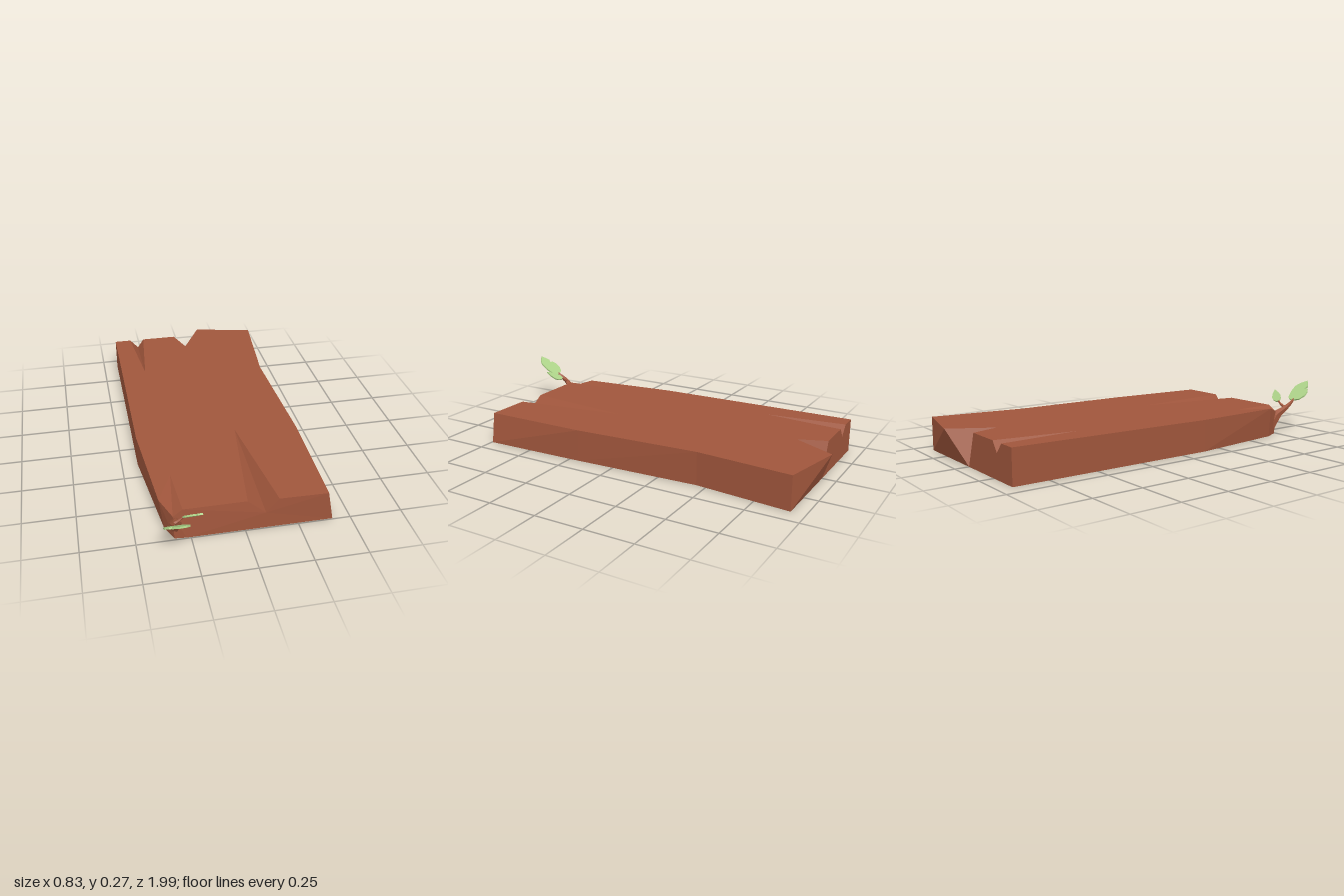
import * as THREE from 'three';

const bark = new THREE.MeshStandardMaterial({ color: 0xa0563c, side: THREE.DoubleSide });
bark.name = 'reddish brown wood';
const green = new THREE.MeshStandardMaterial({ color: 0xafd58a });
green.name = 'light leaf green';

// Flat-faceted mesh from polygons, each fanned out from its first corner
function facets(name, polygons) {
  const pos = [];
  for (const p of polygons)
    for (let i = 1; i < p.length - 1; i++) pos.push(...p[0], ...p[i], ...p[i + 1]);
  const g = new THREE.BufferGeometry();
  g.setAttribute('position', new THREE.Float32BufferAttribute(pos, 3));
  g.computeVertexNormals();
  const mesh = new THREE.Mesh(g, bark);
  mesh.name = name;
  return mesh;
}

// Tube whose radius tapers along its path
function taperedStem(name, points, radii, sides) {
  const curve = new THREE.CatmullRomCurve3(points.map(p => new THREE.Vector3(...p)));
  const steps = 10;
  const g = new THREE.TubeGeometry(curve, steps, 1, sides);
  const pos = g.attributes.position, v = new THREE.Vector3();
  for (let i = 0; i < pos.count; i++) {
    const t = Math.floor(i / (sides + 1)) / steps;
    const c = curve.getPointAt(t);
    const f = t * (radii.length - 1), k = Math.min(Math.floor(f), radii.length - 2);
    const r = THREE.MathUtils.lerp(radii[k], radii[k + 1], f - k);
    v.fromBufferAttribute(pos, i).sub(c).multiplyScalar(r).add(c);
    pos.setXYZ(i, v.x, v.y, v.z);
  }
  const flat = g.toNonIndexed();
  flat.computeVertexNormals();
  const mesh = new THREE.Mesh(flat, bark);
  mesh.name = name;
  return mesh;
}

// Thin leaf: outline in x and y, leaning forward by a slope from its base
function leaf(name, outline, y0, z0, slope) {
  const depth = 0.008, n = Math.hypot(1, slope);
  const shape = new THREE.Shape(outline.map(p => new THREE.Vector2(...p)));
  const g = new THREE.ExtrudeGeometry(shape, { depth, bevelEnabled: false });
  const pos = g.attributes.position;
  for (let i = 0; i < pos.count; i++) {
    const y = pos.getY(i), d = depth - pos.getZ(i);
    pos.setXYZ(i, pos.getX(i), y + d * slope / n, z0 + slope * (y - y0) - d / n);
  }
  g.computeVertexNormals();
  const mesh = new THREE.Mesh(g, green);
  mesh.name = name;
  return mesh;
}

export function createModel() {
  const model = new THREE.Group();
  model.name = 'crackedPlank';
  const T = (x, z) => [x, 0.155 + 0.009 * (0.75 - z), z];
  const B = (x, z) => [x, 0, z];

  // Top outline, counter-clockwise from the front corner; notch tips run inward
  const top = [
    [-0.38, 0.65], [-0.3, 0.475], [-0.285, 0.735],
    [0.01, 0.735], [0.08, 0.16], [0.155, 0.745],
    [0.385, 0.75], [0.395, 0.2], [0.37, -0.45], [0.415, -0.93],
    [0.1, -1], [-0.01, -0.79], [-0.06, -0.93],
    [-0.25, -0.93], [-0.29, -0.52], [-0.33, -0.93],
    [-0.42, -0.93], [-0.42, 0.14],
  ].map(p => T(...p));
  const [c0, c1, c2, n0, n1, n2, r0, r1, r2, r3, p, q1, q2, m0, m1, m2, l0, l1] = top;
  const tris = THREE.ShapeUtils.triangulateShape(top.map(v => new THREE.Vector2(v[0], -v[2])), []);
  model.add(facets('plankTop', tris.map(t => t.map(i => top[i]))));

  // Lower rim
  const right = [B(0.415, 0.745), B(0.4, 0.2), B(0.37, -0.45), B(0.415, -0.93)];
  const backMid = B(0, -0.93);
  const left = [B(-0.42, -0.93), B(-0.42, 0.14), B(-0.36, 0.66)];
  const f1 = B(-0.325, 0.74), f2 = B(-0.27, 0.745);

  // Lowest points of the cracks
  const frontV = [0.095, 0.085, 0.745];
  const backV = [-0.285, 0.12, -0.93];
  const cornerV = [-0.33, 0.125, 0.74];

  // Side walls
  const strip = (lo, hi) => lo.slice(1).map((b, i) => [lo[i], b, hi[i + 1], hi[i]]);
  model.add(facets('rightWall', strip(right, [r0, r1, r2, r3])));
  model.add(facets('leftWall', strip(left, [l0, l1, c0])));
  model.add(facets('frontWall', [
    [frontV, n0, c2, f2, right[0], r0, n2],
    [c0, left[2], f1, cornerV], [cornerV, f1, f2, c2],
  ]));
  model.add(facets('backWall', [
    [right[3], backMid, p, r3],
    [backV, m0, q2, backMid, left[0], l0, m2],
  ]));

  // Split faces inside the cracks
  model.add(facets('cracks', [
    [frontV, n1, n0], [frontV, n2, n1],
    [cornerV, c1, c0], [cornerV, c2, c1],
    [backV, m1, m0], [backV, m2, m1],
    [backMid, q1, p], [backMid, q2, q1],
  ]));

  // Sprout growing from the split corner
  const sprout = new THREE.Group();
  sprout.name = 'sprout';
  sprout.add(taperedStem('stem',
    [[-0.32, 0.04, 0.72], [-0.32, 0.095, 0.75], [-0.34, 0.135, 0.8], [-0.345, 0.158, 0.835], [-0.34, 0.182, 0.872]],
    [0.02, 0.03, 0.018, 0.011, 0.006], 5));
  sprout.add(taperedStem('sideTwig',
    [[-0.34, 0.14, 0.805], [-0.315, 0.152, 0.803], [-0.29, 0.172, 0.803]],
    [0.009, 0.007, 0.004], 5));
  sprout.add(leaf('largeLeaf', [
    [-0.345, 0.173], [-0.32, 0.172], [-0.3, 0.18], [-0.286, 0.21], [-0.285, 0.235],
    [-0.302, 0.252], [-0.335, 0.267], [-0.366, 0.243], [-0.358, 0.23], [-0.375, 0.233],
    [-0.391, 0.218], [-0.393, 0.2], [-0.375, 0.18],
  ], 0.172, 0.867, 1.3));
  sprout.add(leaf('smallLeaf', [
    [-0.296, 0.168], [-0.28, 0.163], [-0.255, 0.166], [-0.235, 0.176], [-0.22, 0.195],
    [-0.215, 0.215], [-0.236, 0.21], [-0.245, 0.202], [-0.246, 0.208], [-0.27, 0.198], [-0.29, 0.183],
  ], 0.163, 0.802, 1.1));
  model.add(sprout);
  return model;
}
